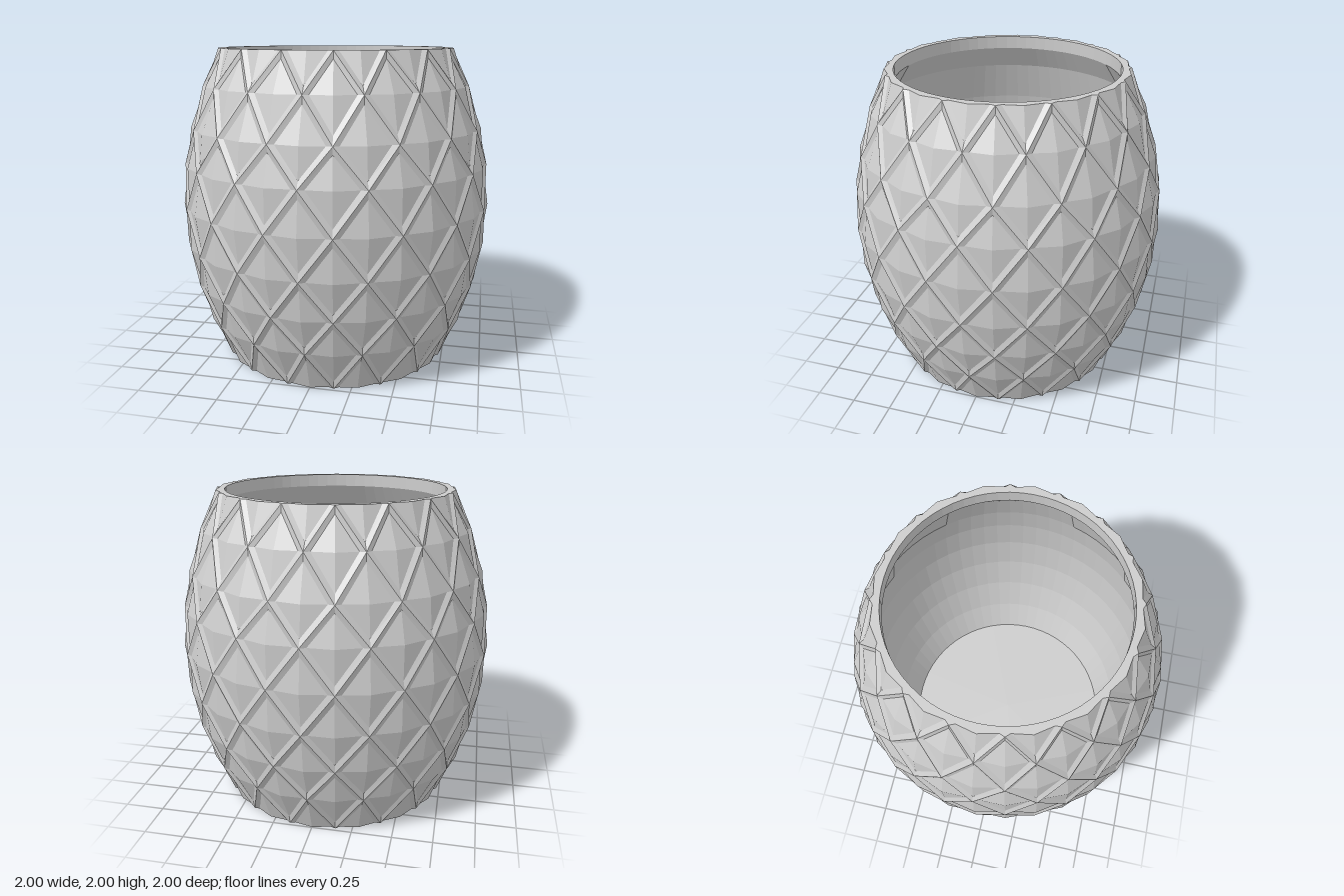
import * as THREE from 'three';

const ROWS = [0, 0.27, 0.51, 0.76, 1.02, 1.28, 1.51, 1.77, 2];
const COLS = 32;          // half-diamonds around the barrel
const RIB = 0.2;          // half rib width as a share of a cell
const DEPTH = 0.018;      // how far the diamond borders sink below the ribs
const barrel = (y) => 1 - 0.255 * (1 - y) ** 2;

// Point on the barrel at column j (may be fractional) and height y
function at(j, y, sink = 0) {
  const a = (j / COLS) * Math.PI * 2, r = barrel(y) - sink;
  return new THREE.Vector3(r * Math.cos(a), y, r * Math.sin(a));
}

// Diamond lattice: each cell has one diagonal rib and two sunken triangles
function latticeGeometry() {
  const pos = [];
  const tri = (a, b, c) => {
    const n = b.clone().sub(a).cross(c.clone().sub(a));
    const out = n.x * (a.x + b.x + c.x) + n.z * (a.z + b.z + c.z) > 0;
    for (const p of out ? [a, b, c] : [a, c, b]) pos.push(p.x, p.y, p.z);
  };
  for (let i = 0; i < ROWS.length - 1; i++) {
    for (let j = 0; j < COLS; j++) {
      const rising = (i + j) % 2 === 1;
      const jLow = rising ? j : j + 1, jHigh = rising ? j + 1 : j;
      const y0 = ROWS[i], y1 = ROWS[i + 1];
      const low = at(jLow, y0), high = at(jHigh, y1);
      // the two off-rib corners: below (jHigh, y0) and above (jLow, y1)
      for (const below of [true, false]) {
        const corner = below ? at(jHigh, y0) : at(jLow, y1);
        const onRow = below
          ? at(jLow + (jHigh - jLow) * RIB, y0, DEPTH)
          : at(jHigh + (jLow - jHigh) * RIB, y1, DEPTH);
        const onColumn = below
          ? at(jHigh, y1 + (y0 - y1) * RIB, DEPTH)
          : at(jLow, y0 + (y1 - y0) * RIB, DEPTH);
        const start = below ? low : high, end = below ? high : low;
        tri(start, onRow, onColumn);
        tri(start, onColumn, end);
        tri(onRow, corner, onColumn);
      }
    }
  }
  const g = new THREE.BufferGeometry();
  g.setAttribute('position', new THREE.Float32BufferAttribute(pos, 3));
  g.computeVertexNormals();
  return g;
}

// Slightly wavy outline of the lattice at its top or bottom row
function outline(y) {
  const pts = [];
  for (let j = 0; j < COLS; j++) {
    const share = j % 2 === 1 ? RIB : 1 - RIB;
    for (const p of [at(j, y), at(j + share, y, DEPTH)]) pts.push(new THREE.Vector2(p.x, p.z));
  }
  return new THREE.Shape(pts);
}

export function createModel() {
  const group = new THREE.Group();
  const clay = new THREE.MeshStandardMaterial({ color: 0xcccccc });
  clay.name = 'light grey';
  const add = (name, geometry) => {
    const mesh = new THREE.Mesh(geometry, clay);
    mesh.name = name;
    group.add(mesh);
    return mesh;
  };

  add('diamondWall', latticeGeometry());

  // Flat ring around the opening
  const rimShape = outline(2);
  rimShape.holes.push(new THREE.Path().absarc(0, 0, 0.69, 0, Math.PI * 2, true));
  const rim = add('rim', new THREE.ShapeGeometry(rimShape, 32).rotateX(-Math.PI / 2));
  rim.position.y = 2;

  add('base', new THREE.ShapeGeometry(outline(0)).rotateX(Math.PI / 2));

  // Hollow inside: short straight lip, bulging wall and flat floor
  const profile = [[0.69, 2], [0.69, 1.92]];
  for (const y of ROWS.slice(1, -1).reverse()) profile.push([barrel(y) - 0.06, y]);
  profile.push([0.71, 0.06], [0, 0.06]);
  const inside = new THREE.LatheGeometry(profile.map(([r, y]) => new THREE.Vector2(r, y)), 64).toNonIndexed();
  inside.computeVertexNormals();
  add('insideWall', inside);

  return group;
}
